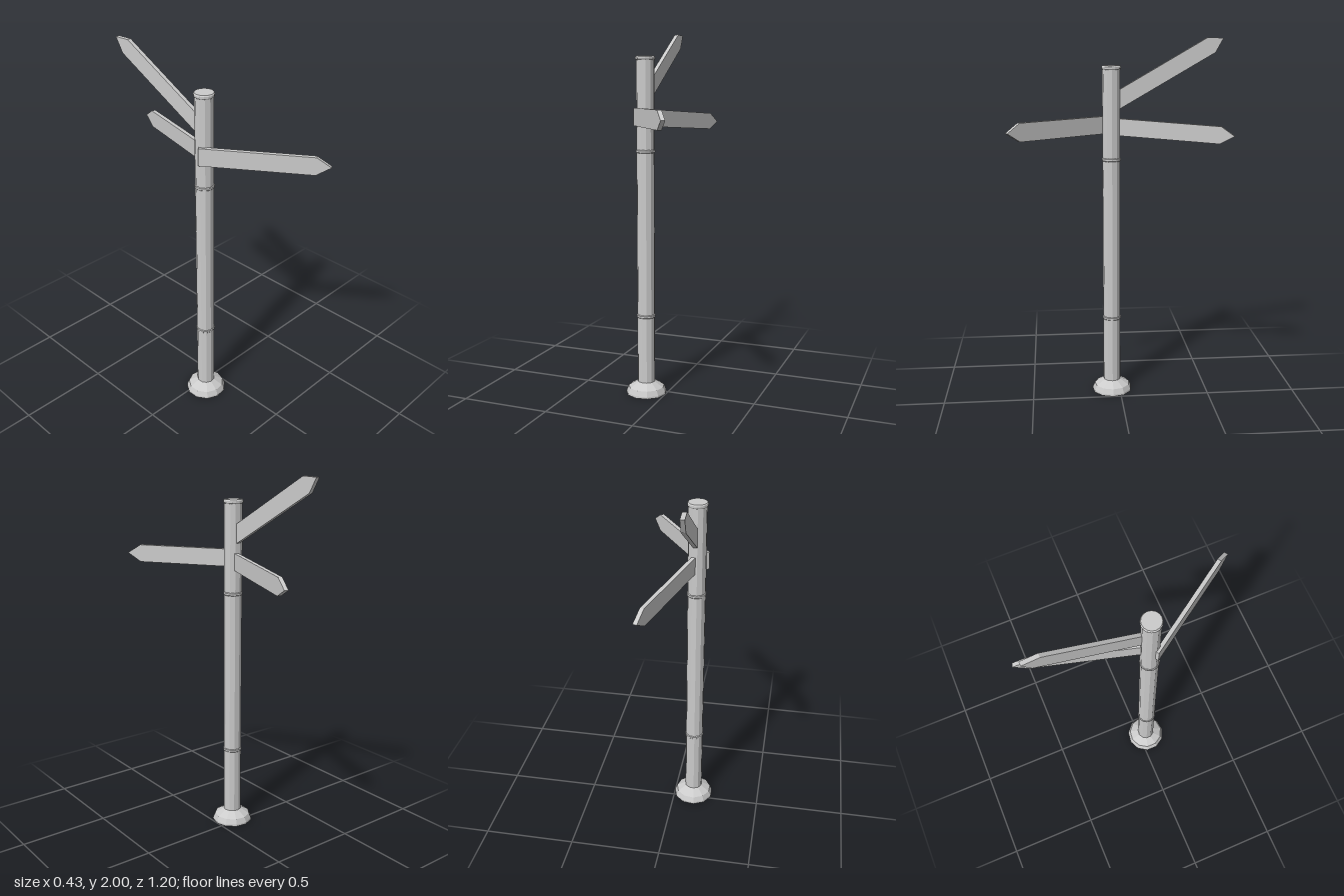
import * as THREE from 'three';

const grey = new THREE.MeshStandardMaterial({ color: 0xcccccc, flatShading: true });
const SIDES = 11;

// Revolved part around the post axis, with a corner facing +x
function lathe(name, profile, sides = SIDES) {
  const points = profile.map(([r, y]) => new THREE.Vector2(r, y));
  const mesh = new THREE.Mesh(new THREE.LatheGeometry(points, sides, Math.PI / 2), grey);
  mesh.name = name;
  return mesh;
}

// Pointed board: yaw turns it around the post, pitch tips it up or down
function board(name, { start, length, height, y, yaw, pitch, offset }) {
  const h = height / 2, thick = 0.022, shoulder = length - 0.075;
  const shape = new THREE.Shape([
    [start, -h], [shoulder, -h], [length, 0], [shoulder, h], [start, h],
  ].map(([a, b]) => new THREE.Vector2(a, b)));
  const geo = new THREE.ExtrudeGeometry(shape, { depth: thick, bevelEnabled: false });
  geo.translate(0, 0, offset - thick / 2);
  const mesh = new THREE.Mesh(geo, grey);
  mesh.name = name;
  mesh.position.y = y;
  mesh.rotation.set(0, THREE.MathUtils.degToRad(yaw), THREE.MathUtils.degToRad(pitch), 'YXZ');
  return mesh;
}

export function createModel() {
  const model = new THREE.Group();
  model.name = 'signpost';
  const post = new THREE.Group();
  post.name = 'post';
  post.position.set(-0.112, 0, 0.044);
  model.add(post);

  // Flared foot and shaft
  post.add(lathe('foot', [[0, 0], [0.113, 0], [0.112, 0.01], [0.1, 0.038], [0.049, 0.068], [0, 0.068]]));
  post.add(lathe('shaft', [[0, 0.06], [0.049, 0.06], [0.049, 1.845], [0, 1.845]]));

  // Thin collars and the top cap
  for (const y of [0.445, 1.354]) {
    post.add(lathe('collar', [[0.047, y - 0.01], [0.052, y - 0.005], [0.052, y + 0.005], [0.047, y + 0.01]], 16));
  }
  post.add(lathe('cap', [[0, 1.836], [0.049, 1.836], [0.053, 1.841], [0.053, 1.851], [0.049, 1.857], [0, 1.857]], 16));

  // Three boards: one mounted on the face of the post, two set into its back
  post.add(board('frontBoard', { start: -0.02, length: 0.633, height: 0.095, y: 1.538, yaw: -55.5, pitch: 0, offset: 0.05 }));
  post.add(board('lowerBackBoard', { start: 0.015, length: 0.667, height: 0.092, y: 1.533, yaw: 73.5, pitch: -3.2, offset: 0 }));
  post.add(board('raisedBackBoard', { start: 0.015, length: 0.697, height: 0.09, y: 1.655, yaw: 92.6, pitch: 29.6, offset: 0.006 }));
  return model;
}
